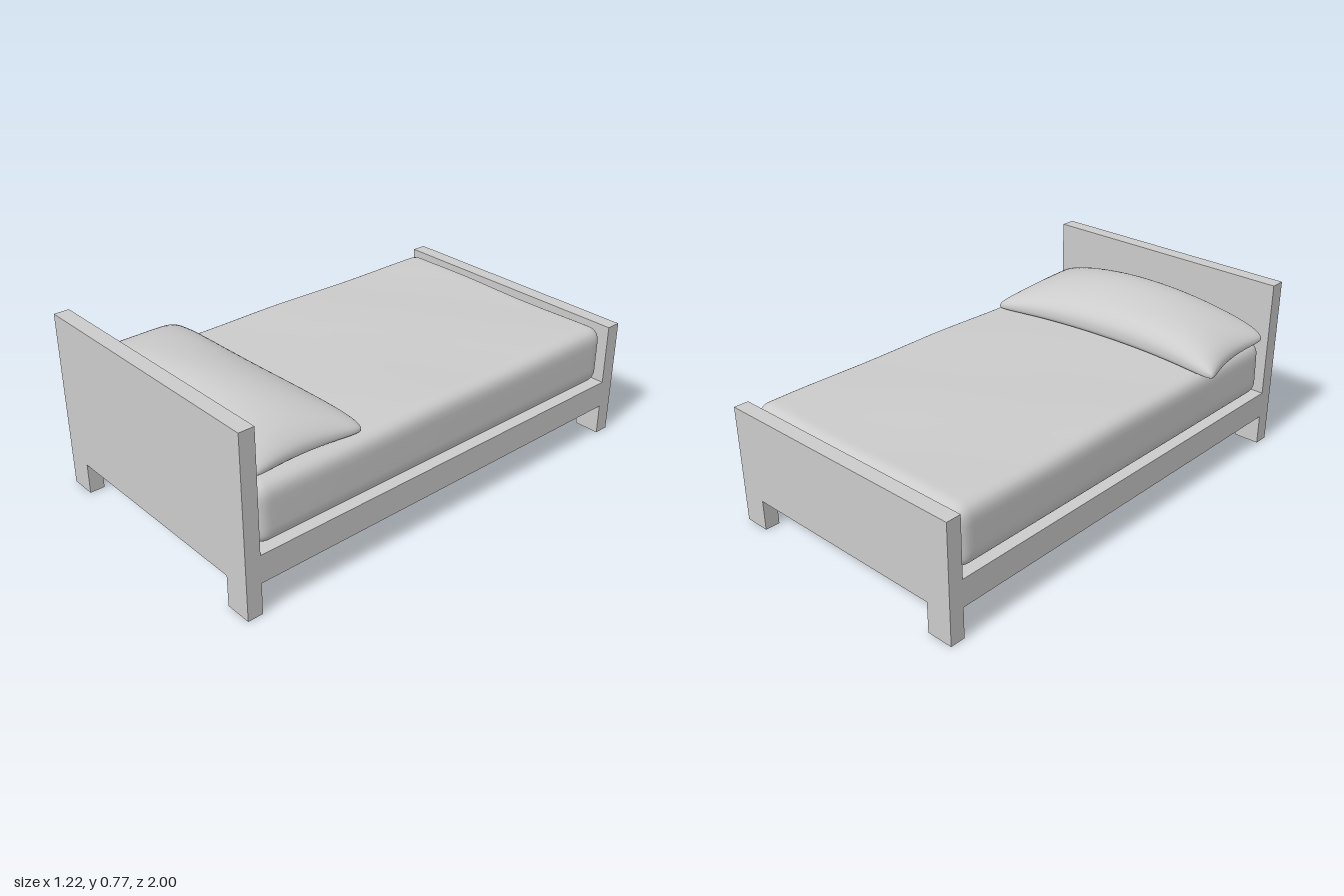
import * as THREE from 'three';
import { mergeVertices, mergeGeometries } from 'three/addons/utils/BufferGeometryUtils.js';

const material = new THREE.MeshStandardMaterial({ color: 0xcccccc });

// Move every vertex of a geometry by a rule
function reshape(geometry, rule) {
  const pos = geometry.attributes.position;
  const p = new THREE.Vector3();
  for (let i = 0; i < pos.count; i++) {
    p.fromBufferAttribute(pos, i);
    rule(p);
    pos.setXYZ(i, p.x, p.y, p.z);
  }
  return geometry;
}

// Weld the seams so that soft parts shade smoothly
function smooth(geometry) {
  geometry.deleteAttribute('uv');
  geometry.deleteAttribute('normal');
  const welded = mergeVertices(geometry, 1e-4);
  welded.computeVertexNormals();
  return welded;
}

// The whole frame stands very slightly out of square
const skew = (p) => p.set(p.x + 0.019 - 0.0057 * p.z, p.y, p.z - 0.004 * p.x);

function addPart(group, name, geometry) {
  const mesh = new THREE.Mesh(geometry, material);
  mesh.name = name;
  group.add(mesh);
}

const HALF = 0.59;      // half width of the frame
const RAIL_LOW = 0.135; // underside of the frame
const RAIL_TOP = 0.255;
const BOARD = 0.065;    // board thickness

// End board with its two feet, cut as one panel
function endBoard(height, z) {
  const foot = HALF - 0.115;
  const shape = new THREE.Shape([
    [-HALF, 0], [-foot, 0], [-foot, RAIL_LOW], [foot, RAIL_LOW],
    [foot, 0], [HALF, 0], [HALF, height], [-HALF, height],
  ].map(([x, y]) => new THREE.Vector2(x, y)));
  const geometry = new THREE.ExtrudeGeometry(shape, { depth: BOARD, bevelEnabled: false });
  geometry.translate(0, 0, z);
  reshape(geometry, skew).computeVertexNormals();
  return geometry;
}

// Solid base between the boards
function bedBase() {
  const geometry = new THREE.BoxGeometry(2 * HALF, RAIL_TOP - RAIL_LOW, 2 - 2 * BOARD);
  geometry.translate(0, (RAIL_TOP + RAIL_LOW) / 2, 0);
  return reshape(geometry, skew);
}

// Rounded block with a gently uneven top
function mattressGeometry() {
  const half = new THREE.Vector3(0.573, 0.13, 0.931);
  const r = 0.06;
  const inner = half.clone().subScalar(r);
  const outer = inner.clone().negate();
  const core = new THREE.Vector3();
  const geometry = new THREE.BoxGeometry(2, 2, 2, 44, 14, 64);
  reshape(geometry, (p) => {
    for (const a of ['x', 'y', 'z']) p[a] = half[a] * Math.sin(p[a] * Math.PI / 2);
    core.copy(p).clamp(outer, inner);
    p.sub(core).setLength(r).add(core);
    const lift = (p.y + half.y) / (2 * half.y);
    const wave = Math.sin(7 * p.x + 3 * p.z) * Math.sin(5 * p.z - 2 * p.x);
    p.y += lift * (0.004 * wave - 0.009 * Math.max(0, p.z));
    p.x *= 1 - 0.012 * lift * Math.max(0, p.z) ** 2;
    p.y += RAIL_TOP + half.y;
    skew(p);
  });
  return smooth(geometry);
}

// Two cushioned sheets joined along a pinched outline
function pillowGeometry() {
  const sheet = (side) => {
    const geometry = new THREE.PlaneGeometry(2, 2, 48, 32);
    geometry.rotateX(side > 0 ? -Math.PI / 2 : Math.PI / 2);
    return reshape(geometry, (p) => {
      const u = Math.sin(p.x * Math.PI / 2);
      const v = Math.sin(p.z * Math.PI / 2);
      const s = (u + 1) / 2;
      const t = (v + 1) / 2;
      // Outline: corner to corner, with hollow ends and a bowed rear edge
      const left = THREE.MathUtils.lerp(-0.63, -0.595, t) + 0.042 * (1 - v * v);
      const right = THREE.MathUtils.lerp(0.56, 0.57, t) - 0.036 * (1 - v * v);
      const rear = THREE.MathUtils.lerp(0.435, 0.385, s) + 0.055 * (1 - u * u);
      const front = THREE.MathUtils.lerp(0.905, 0.93, s) + 0.012 * (1 - u * u);
      const corner = (u * v) ** 10;
      const x = THREE.MathUtils.lerp(left, right, s) - 0.03 * u * corner;
      const z = THREE.MathUtils.lerp(rear, front, t) - 0.025 * v * corner;
      // Fullness: zero on the seam, fattest along the middle
      const fill = Math.sqrt((1 - u * u) * (1 - v * v));
      const seam = 0.545 + 0.012 * v - 0.012 * u ** 4 + 0.012 * (1 - u * u);
      const fold = 0.006 * Math.sin(5 * x + 9 * z) * fill;
      const y = side > 0
        ? seam + 0.122 * fill ** 0.85 + fold
        : Math.max(0.498, seam - 0.06 * fill ** 0.7);
      p.set(x, y, z);
    });
  };
  return smooth(mergeGeometries([sheet(1), sheet(-1)]));
}

export function createModel() {
  const bed = new THREE.Group();
  bed.name = 'bed';
  addPart(bed, 'headboard', endBoard(0.77, 1 - BOARD));
  addPart(bed, 'footboard', endBoard(0.52, -1));
  addPart(bed, 'base', bedBase());
  addPart(bed, 'mattress', mattressGeometry());
  addPart(bed, 'pillow', pillowGeometry());
  return bed;
}
